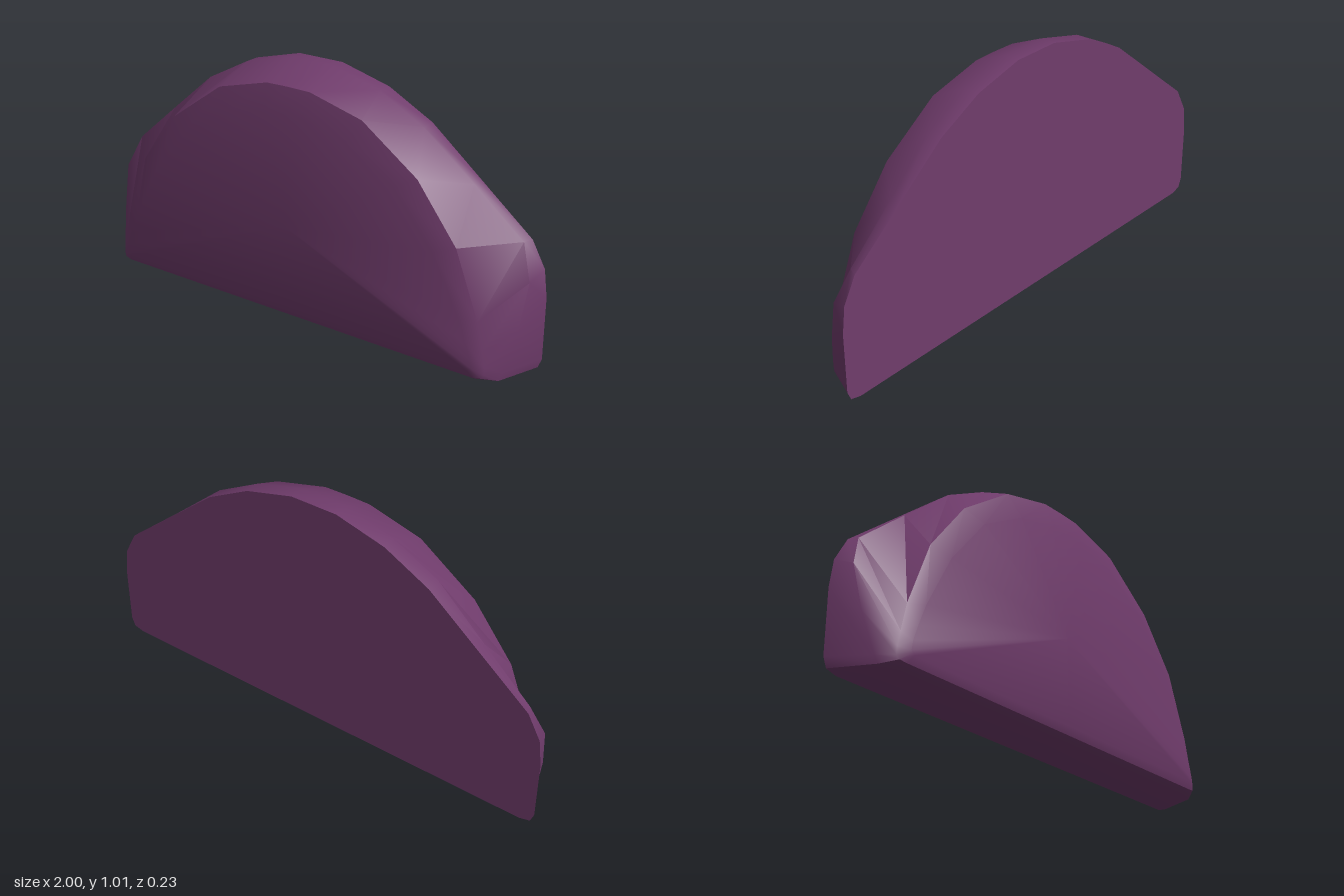
import * as THREE from 'three';
import { toCreasedNormals } from 'three/addons/utils/BufferGeometryUtils.js';

// Half outlines, bottom centre -> side -> top centre, as [x, y, z], from back to front
const BACK = [[0, 0], [0.94, 0], [0.985, 0.012], [1, 0.05], [1, 0.3], [0.985, 0.41], [0.93, 0.51],
  [0.715, 0.685], [0.5, 0.86], [0.31, 0.96], [0.1, 1.015], [0, 1.015]].map(([x, y]) => [x, y, -0.117]);
const RIM = [[0, 0, 0.07], [0.84, 0, 0.07], [0.915, 0.008, 0.05], [0.925, 0.04, 0.04], [0.955, 0.2, 0],
  [0.967, 0.38, -0.04], [0.915, 0.51, -0.08], [0.71, 0.685, -0.07], [0.5, 0.86, -0.055],
  [0.31, 0.96, -0.055], [0.1, 1.015, -0.055], [0, 1.015, -0.055]];
const SHOULDER = [[0, 0.02, 0.105], [0.84, 0.02, 0.105], [0.87, 0.025, 0.1], [0.88, 0.04, 0.095],
  [0.878, 0.07, 0.095], [0.865, 0.13, 0.093], [0.84, 0.24, 0.092], [0.74, 0.5, 0.092],
  [0.57, 0.72, 0.09], [0.33, 0.89, 0.09], [0.1, 0.95, 0.09], [0, 0.952, 0.09]];
const FACE = [[0, 0.05], [0.82, 0.05], [0.83, 0.055], [0.835, 0.065], [0.83, 0.1], [0.81, 0.16], [0.775, 0.25],
  [0.66, 0.47], [0.49, 0.68], [0.28, 0.8], [0.09, 0.845], [0, 0.85]].map(([x, y]) => [x, y, 0.118]);

// Completes a half outline by mirroring it across x = 0
const mirror = (half) => [...half, ...half.slice(1, -1).reverse().map(([x, y, z]) => [-x, y, z])];

// Skins the rings and closes both ends with flat fans
function loft(rings) {
  const n = rings[0].length;
  const positions = rings.flat(2);
  const index = [];
  for (let r = 0; r < rings.length - 1; r++) {
    for (let i = 0; i < n; i++) {
      const j = (i + 1) % n;
      const a = r * n + i, b = r * n + j, c = b + n, d = a + n;
      index.push(a, b, c, a, c, d);
    }
  }
  const last = (rings.length - 1) * n;
  const centre = rings.length * n;
  positions.push(0, 0.4, rings[0][0][2], 0, 0.4, rings[rings.length - 1][0][2]);
  for (let i = 0; i < n; i++) {
    const j = (i + 1) % n;
    index.push(centre, j, i, centre + 1, last + i, last + j);
  }
  const geometry = new THREE.BufferGeometry();
  geometry.setAttribute('position', new THREE.Float32BufferAttribute(positions, 3));
  geometry.setIndex(index);
  return toCreasedNormals(geometry, 0.6);
}

export function createModel() {
  const group = new THREE.Group();
  group.name = 'domedBlock';

  // Domed slab with a flat back and a bevelled front
  const material = new THREE.MeshStandardMaterial({ color: 0x703c6c });
  const body = new THREE.Mesh(loft([BACK, RIM, SHOULDER, FACE].map(mirror)), material);
  body.name = 'body';
  group.add(body);
  return group;
}
